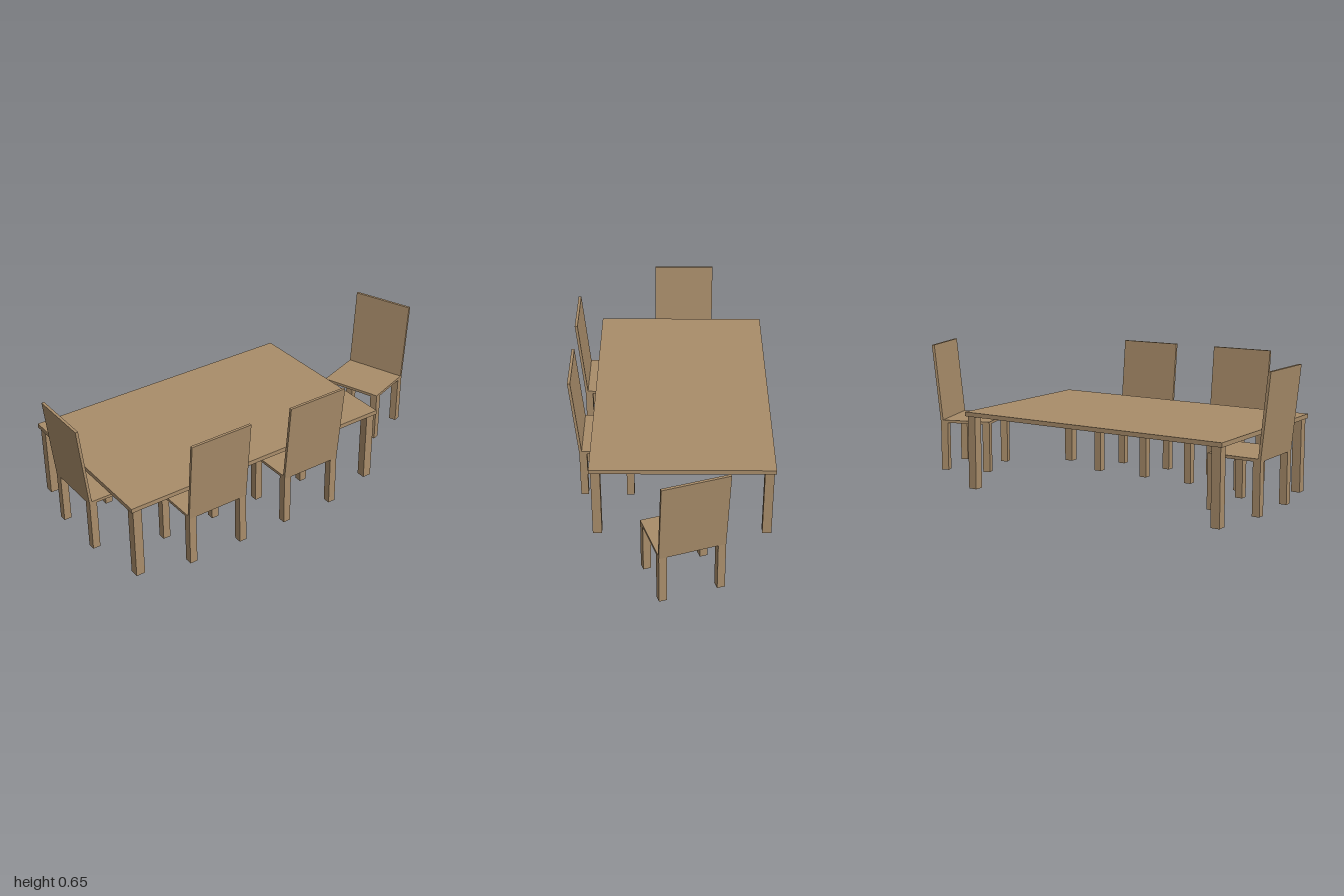
import * as THREE from 'three';

const wood = new THREE.MeshStandardMaterial({ color: 0xa98d6a, flatShading: true });

// Box given by its min and max corners
function box(name, [x0, y0, z0], [x1, y1, z1]) {
  const geo = new THREE.BoxGeometry(x1 - x0, y1 - y0, z1 - z0);
  geo.translate((x0 + x1) / 2, (y0 + y1) / 2, (z0 + z1) / 2);
  const mesh = new THREE.Mesh(geo, wood);
  mesh.name = name;
  return mesh;
}

// Four square legs set at the corners of a rectangle centred on the origin
function addLegs(group, name, halfX, halfZ, size, bottom, top) {
  for (const sx of [-1, 1]) for (const sz of [-1, 1]) {
    const leg = box(name, [-size / 2, bottom, -size / 2], [size / 2, top, size / 2]);
    leg.position.set(sx * (halfX - size / 2), 0, sz * (halfZ - size / 2));
    group.add(leg);
  }
}

function createTable() {
  const table = new THREE.Group();
  table.name = 'table';
  table.add(box('tableTop', [-0.7, 0.357, -0.433], [0.7, 0.378, 0.433]));
  addLegs(table, 'tableLeg', 0.69, 0.425, 0.044, 0, 0.358);
  return table;
}

// Chair with its backrest on local +z
function createChair() {
  const chair = new THREE.Group();
  chair.name = 'chair';
  const w = 0.312;
  chair.add(box('seat', [-w / 2, 0.253, -0.132], [w / 2, 0.267, 0.132]));
  addLegs(chair, 'chairLeg', w / 2, 0.132, 0.037, 0.005, 0.266);

  // Leaning backrest: side profile (z, y) extruded across the width
  const profile = new THREE.Shape([
    [0.119, 0.254], [0.132, 0.253], [0.1725, 0.655], [0.159, 0.655],
  ].map(([z, y]) => new THREE.Vector2(z, y)));
  const geo = new THREE.ExtrudeGeometry(profile, { depth: w, bevelEnabled: false });
  geo.translate(0, 0, -w / 2);
  geo.rotateY(-Math.PI / 2);
  const back = new THREE.Mesh(geo, wood);
  back.name = 'backrest';
  chair.add(back);
  return chair;
}

export function createModel() {
  const model = new THREE.Group();
  model.name = 'diningSet';

  const table = createTable();
  table.position.set(-0.209, 0, -0.053);
  model.add(table);

  // x, z and turn in degrees: two along the front, one at each end
  const places = [
    [-0.5, 0.3125, 0],
    [0.033, 0.3125, 0],
    [-0.8275, -0.067, -90],
    [0.786, -0.053, 109],
  ];
  for (const [x, z, turn] of places) {
    const chair = createChair();
    chair.position.set(x, 0, z);
    chair.rotation.y = THREE.MathUtils.degToRad(turn);
    model.add(chair);
  }
  return model;
}
